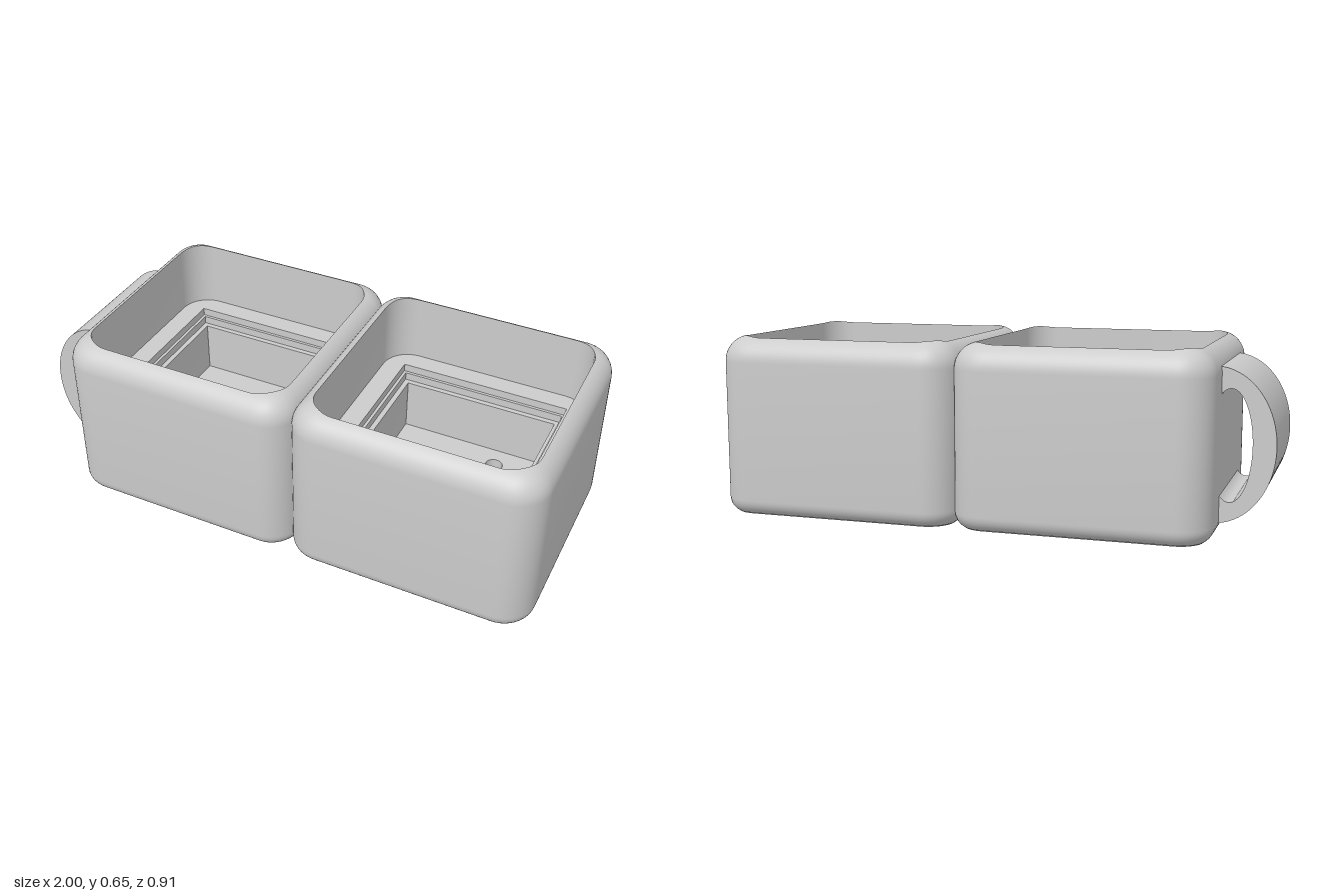
import * as THREE from 'three';
import { mergeGeometries, toCreasedNormals } from 'three/addons/utils/BufferGeometryUtils.js';

const HALF = 0.457, CORNER = 0.12, INNER = 0.398, INNER_CORNER = 0.105, FILLET = 0.095, SHOULDER = 0.56;
const BASE = 0.424, BASE_CORNER = 0.09;
const CAVITY_FLOOR = 0.395, POCKET = 0.292, POCKET_FLOOR = 0.135, PIN_BOTTOM = 0.05;

// Rounded square loop at height y
function squareLoop(half, r, y, n = 10) {
  const pts = [];
  for (let c = 0; c < 4; c++) {
    const mid = Math.PI / 4 + c * Math.PI / 2;
    const cx = Math.sign(Math.cos(mid)) * (half - r), cz = Math.sign(Math.sin(mid)) * (half - r);
    for (let i = 0; i <= n; i++) {
      const a = c * Math.PI / 2 + i / n * Math.PI / 2;
      pts.push(new THREE.Vector3(cx + r * Math.cos(a), y, cz + r * Math.sin(a)));
    }
  }
  return pts;
}

function circleLoop(cx, cz, r, y, n = 32) {
  return Array.from({ length: n }, (_, i) => {
    const a = i / n * Math.PI * 2;
    return new THREE.Vector3(cx + r * Math.cos(a), y, cz + r * Math.sin(a));
  });
}

// Skin closed loops in order; rising loops face outward, falling ones inward
function loft(loops) {
  const pos = [], index = [], n = loops[0].length;
  loops.forEach(l => l.forEach(p => pos.push(p.x, p.y, p.z)));
  for (let k = 0; k < loops.length - 1; k++) {
    for (let j = 0; j < n; j++) {
      const a = k * n + j, b = k * n + (j + 1) % n;
      index.push(a, a + n, b, b, a + n, b + n);
    }
  }
  const g = new THREE.BufferGeometry();
  g.setAttribute('position', new THREE.Float32BufferAttribute(pos, 3));
  g.setIndex(index);
  return crease(g);
}

// Sharp edges, worked out at a larger scale so small steps stay distinct
function crease(g) {
  return toCreasedNormals(g.scale(100, 100, 100), 0.6).scale(0.01, 0.01, 0.01);
}

// Depth of a point inside the outer rounded square
function depthInside(x, z) {
  const qx = Math.abs(x) - (HALF - CORNER), qz = Math.abs(z) - (HALF - CORNER);
  const d = Math.hypot(Math.max(qx, 0), Math.max(qz, 0)) + Math.min(Math.max(qx, qz), 0) - CORNER;
  return Math.max(0, -d);
}

function shellGeometry() {
  const loops = [squareLoop(BASE, BASE_CORNER, 0), squareLoop(BASE, BASE_CORNER, 0.004)];
  // Bottom edge rounding
  for (let i = 0; i <= 6; i++) {
    const a = (1 - i / 6) * 1.01, inset = 0.06 * (1 - Math.cos(a));
    loops.push(squareLoop(HALF - inset, CORNER - inset, 0.055 - 0.06 * Math.sin(a)));
  }
  // Rounded rim, cut by the cavity so the corners stand slightly higher
  const outer = squareLoop(HALF, CORNER, 0), inner = squareLoop(INNER, INNER_CORNER, 0);
  for (let i = 0; i <= 10; i++) {
    const t = (i / 10) ** 2;
    loops.push(outer.map((p, j) => {
      const q = p.clone().lerp(inner[j], t);
      const d = Math.min(depthInside(q.x, q.z), FILLET);
      q.y = SHOULDER + Math.sqrt(FILLET ** 2 - (FILLET - d) ** 2);
      return q;
    }));
  }
  // Cavity wall and stepped square pocket
  loops.push(squareLoop(INNER, INNER_CORNER, CAVITY_FLOOR));
  const steps = [[0.322, CAVITY_FLOOR], [0.322, 0.365], [0.311, 0.365], [0.311, 0.335], [POCKET, 0.335], [POCKET, POCKET_FLOOR]];
  steps.forEach(([h, y]) => loops.push(squareLoop(h, 0.001, y)));
  return loft(loops);
}

// Flat square with round holes given as [x, z, radius]
function plate(half, r, y, holes, down) {
  const shape = new THREE.Shape(squareLoop(half, r, 0).map(p => new THREE.Vector2(p.x, p.z)));
  holes.forEach(([x, z, rad]) => shape.holes.push(
    new THREE.Path(circleLoop(x, down ? z : -z, rad, 0).map(p => new THREE.Vector2(p.x, p.z)))));
  return new THREE.ShapeGeometry(shape).rotateX(down ? Math.PI / 2 : -Math.PI / 2).translate(0, y, 0);
}

export function createModel() {
  const grey = new THREE.MeshStandardMaterial({ color: 0xcccccc });
  grey.name = 'grey';
  const model = new THREE.Group();
  model.name = 'doubleCup';

  const add = (parent, name, geometry) => {
    const mesh = new THREE.Mesh(geometry, grey);
    mesh.name = name;
    parent.add(mesh);
  };

  const drain = [0, 0, 0.083], centre = [0, 0.007, 0.083];
  const pins = [[-0.212, 0.005, 0.035], [0.212, 0.005, 0.035], [0.106, -0.206, 0.032], [-0.16, -0.1, 0.032]];
  const shell = shellGeometry();
  const floor = plate(POCKET, 0.001, POCKET_FLOOR, [centre, ...pins], false);
  const base = plate(BASE, BASE_CORNER, 0, [drain], true);
  const bore = loft([circleLoop(...centre, POCKET_FLOOR), circleLoop(...centre, PIN_BOTTOM),
    circleLoop(...drain, PIN_BOTTOM), circleLoop(...drain, 0)]);
  const pinWalls = mergeGeometries(pins.map(p => loft([circleLoop(...p, POCKET_FLOOR), circleLoop(...p, PIN_BOTTOM)])));
  const pinEnds = mergeGeometries(pins.map(([x, z, r]) =>
    new THREE.CircleGeometry(r, 32).rotateX(-Math.PI / 2).translate(x, PIN_BOTTOM, z)));

  // Two identical square cups side by side
  [['rightCup', -0.355], ['leftCup', 0.541]].forEach(([name, x]) => {
    const cup = new THREE.Group();
    cup.name = name;
    cup.position.x = x;
    add(cup, 'shell', shell);
    add(cup, 'pocketFloor', floor);
    add(cup, 'base', base);
    add(cup, 'centreHole', bore);
    add(cup, 'pinHoles', pinWalls);
    add(cup, 'pinHoleEnds', pinEnds);
    model.add(cup);
  });

  // Wide curved handle
  const c = new THREE.Shape();
  c.absellipse(-0.79, 0.315, 0.21, 0.27, Math.PI / 2, Math.PI * 1.5, false);
  c.absellipse(-0.845, 0.315, 0.075, 0.195, -0.75, 0.75, true);
  c.closePath();
  const handle = new THREE.ExtrudeGeometry(c, { depth: 0.48, bevelEnabled: false, curveSegments: 40 });
  add(model, 'handle', crease(handle.translate(0, 0, -0.24)));

  return model;
}
